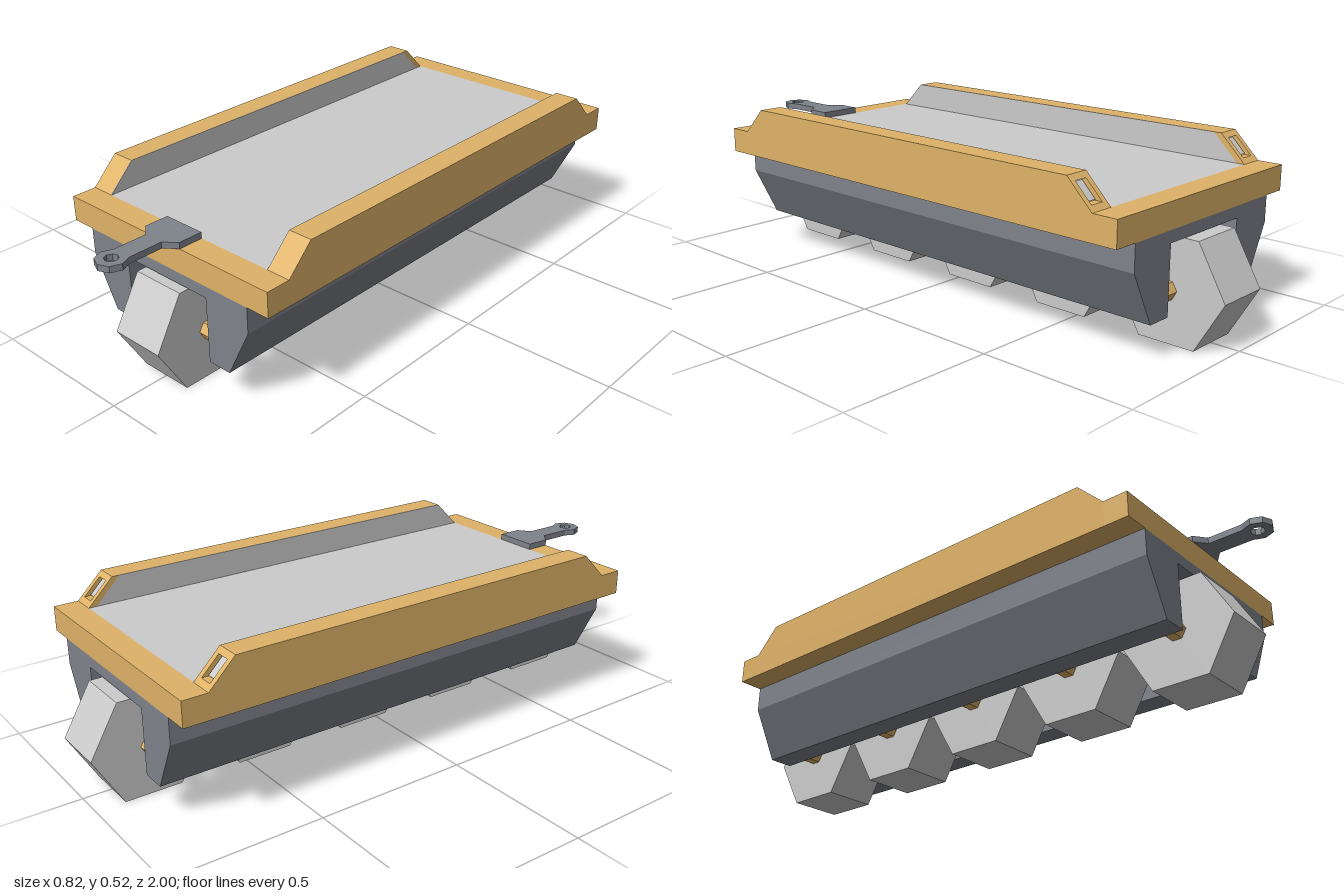
import * as THREE from 'three';

const paint = (color) => new THREE.MeshStandardMaterial({ color, flatShading: true });

export function createModel() {
  const model = new THREE.Group();
  const light = paint(0xcccccc), dark = paint(0x7f838b), wood = paint(0xdfb368);
  const FRONT = 0.78, BACK = -0.87, BEAM = 0.08;
  const LOW = 0.36, DECK = 0.44, TOP = 0.525, INNER = 0.33, OUTER = 0.41;
  const innerFront = FRONT - BEAM, innerBack = BACK + BEAM, rise = TOP - DECK;

  const add = (name, geometry, material, x = 0, y = 0, z = 0) => {
    const mesh = new THREE.Mesh(geometry, material);
    mesh.name = name;
    mesh.position.set(x, y, z);
    model.add(mesh);
    return mesh;
  };
  const outline = (points) => new THREE.Shape(points.map(([a, b]) => new THREE.Vector2(a, b)));
  const extrude = (shape, depth) => new THREE.ExtrudeGeometry(shape, { depth, bevelEnabled: false });
  // Side profile drawn as (z, y), swept from x0 to x1
  const sweepX = (points, x0, x1) =>
    extrude(outline(points.map(([z, y]) => [-z, y])), x1 - x0).rotateY(Math.PI / 2).translate(x0, 0, 0);
  const rect = (x0, y0, x1, y1) => [[x0, y0], [x1, y0], [x1, y1], [x0, y1]];

  // Chassis: two side skirts joined under the deck
  const half = [[0.167, 0.323], [0.167, 0.112], [0.247, 0.112], [INNER, 0.277], [INNER, LOW]];
  const chassis = [...half, ...half.map(([x, y]) => [-x, y]).reverse()];
  add('chassis', extrude(outline(chassis), FRONT - BACK), dark, 0, 0, BACK);

  // Deck and end beams
  const length = innerFront - innerBack;
  add('deck', new THREE.BoxGeometry(2 * INNER, DECK - LOW, length), light,
    0, (DECK + LOW) / 2, (innerFront + innerBack) / 2);
  for (const [name, z] of [['frontBeam', FRONT - BEAM / 2], ['backBeam', BACK + BEAM / 2]])
    add(name, new THREE.BoxGeometry(2 * OUTER, DECK - LOW, BEAM), wood, 0, (DECK + LOW) / 2, z);

  // Side rails with sloped ends, grey lining and a framed lamp at the back
  const recess = 0.025;
  for (const side of [1, -1]) {
    const label = side > 0 ? 'left' : 'right';
    const span = (a, b) => (side > 0 ? [a, b] : [-b, -a]);
    const upper = (back) => [[innerFront, DECK], [innerFront - rise, TOP], [back + rise, TOP], [back, DECK]];
    add(label + 'RailBase', sweepX(rect(innerBack, LOW, innerFront, DECK), ...span(INNER, OUTER)), wood);
    add(label + 'Rail', sweepX(upper(innerBack + recess), ...span(INNER + 0.002, OUTER)), wood);
    add(label + 'RailLining', sweepX(upper(innerBack + recess), ...span(INNER, INNER + 0.002)), light);

    const [x0, x1] = span(INNER, OUTER), mid = (x0 + x1) / 2;
    const face = outline(rect(x0, DECK, x1, TOP));
    face.holes.push(new THREE.Path(rect(mid - 0.022, DECK + 0.015, mid + 0.022, TOP - 0.015)
      .map(([x, y]) => new THREE.Vector2(x, y))));
    // Lean an upright plate back to follow the slope
    const lean = (geometry) => {
      const p = geometry.attributes.position;
      for (let i = 0; i < p.count; i++) p.setZ(i, p.getZ(i) + p.getY(i) - DECK);
      geometry.computeVertexNormals();
      return geometry;
    };
    add(label + 'LampFrame', lean(extrude(face, recess)), wood, 0, 0, innerBack);
    const lamp = outline(rect(mid - 0.016, DECK + 0.02, mid + 0.016, TOP - 0.02));
    add(label + 'Lamp', lean(extrude(lamp, 0.012)), light, 0, 0, innerBack + recess - 0.012);
  }

  // Five hexagonal rollers on hexagonal axles
  const hexBar = (radius, width) =>
    new THREE.CylinderGeometry(radius, radius, width, 6).rotateZ(Math.PI / 2).rotateX(Math.PI / 2);
  const roller = hexBar(0.184, 0.182), axle = hexBar(0.0306, 0.34);
  // Turn each bar so a flat side faces down
  const probe = roller.clone();
  probe.computeBoundingBox();
  if (probe.boundingBox.max.y > 0.17) [roller, axle].forEach((g) => g.rotateX(Math.PI / 2));
  for (let i = 0; i < 5; i++) {
    const z = 0.716 - i * 0.383;
    add('roller' + (i + 1), roller, light, 0, 0.1595, z);
    add('axle' + (i + 1), axle, wood, 0, 0.1595, z);
  }

  // Hitch: plate narrowing to an octagonal eye
  const eyeZ = 0.953, eyeR = 0.047;
  const eye = [];
  for (let i = -1; i <= 5; i++) {
    const a = (i * Math.PI) / 4;
    eye.push([eyeR * Math.cos(a), eyeZ + eyeR * Math.sin(a)]);
  }
  const hitch = outline([[-0.072, 0.7], [0.072, 0.7], [0.072, 0.78], [0.033, 0.81], ...eye, [-0.033, 0.81], [-0.072, 0.78]]);
  const hole = new THREE.Path();
  for (let i = 0; i < 8; i++) {
    const a = (-i * Math.PI) / 4, x = 0.021 * Math.cos(a), y = eyeZ + 0.021 * Math.sin(a);
    i ? hole.lineTo(x, y) : hole.moveTo(x, y);
  }
  hole.closePath();
  hitch.holes.push(hole);
  add('hitch', extrude(hitch, 0.02).rotateX(Math.PI / 2), dark, 0, 0.46, 0);

  return model;
}
